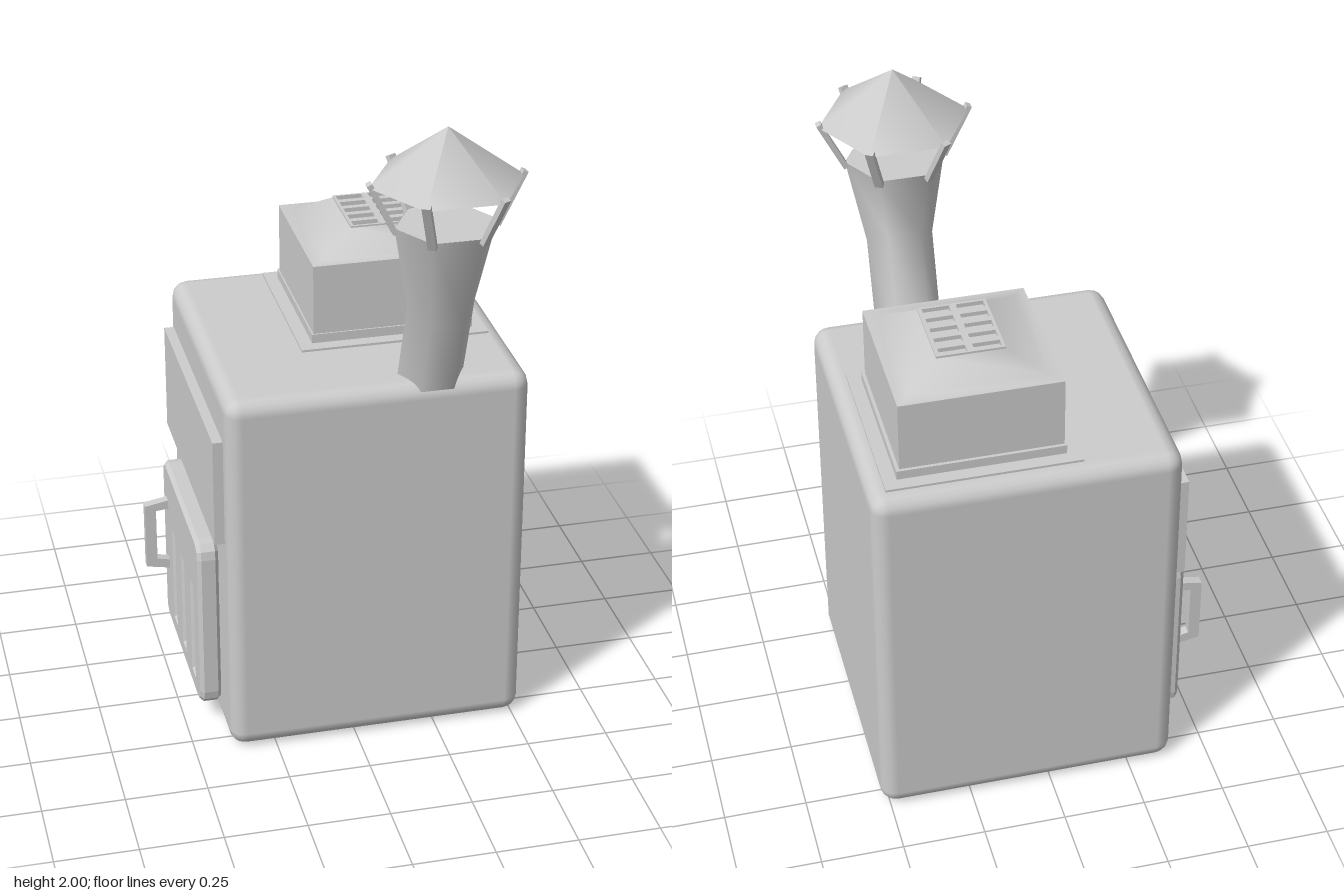
import * as THREE from 'three';
import { RoundedBoxGeometry } from 'three/addons/geometries/RoundedBoxGeometry.js';

const grey = new THREE.MeshStandardMaterial({ color: 0xcccccc, side: THREE.DoubleSide });
grey.name = 'light grey';

export function createModel() {
  const model = new THREE.Group();
  model.name = 'boiler';

  const add = (name, geometry, parent = model) => {
    const mesh = new THREE.Mesh(geometry, grey);
    mesh.name = name;
    parent.add(mesh);
    return mesh;
  };
  const group = (name) => {
    const g = new THREE.Group();
    g.name = name;
    model.add(g);
    return g;
  };
  // Box given by its limits
  const box = (name, x0, x1, y0, y1, z0, z1, parent) =>
    add(name, new THREE.BoxGeometry(x1 - x0, y1 - y0, z1 - z0)
      .translate((x0 + x1) / 2, (y0 + y1) / 2, (z0 + z1) / 2), parent);
  const rectPath = (x0, x1, y0, y1) => new THREE.Path([[x0, y0], [x0, y1], [x1, y1], [x1, y0]]
    .map(([x, y]) => new THREE.Vector2(x, y)));
  // Smooth skin through closed rings, bottom to top, each anticlockwise from above
  const loft = (rings) => {
    const n = rings[0].length, index = [];
    for (let i = 0; i < rings.length - 1; i++) {
      for (let j = 0; j < n; j++) {
        const a = i * n + j, b = i * n + (j + 1) % n;
        index.push(a, b, a + n, b, b + n, a + n);
      }
    }
    const g = new THREE.BufferGeometry();
    g.setAttribute('position', new THREE.Float32BufferAttribute(rings.flat(2), 3));
    g.setIndex(index);
    g.computeVertexNormals();
    return g;
  };

  // Cabinet
  add('cabinet', new RoundedBoxGeometry(0.915, 1.185, 0.905, 2, 0.05).translate(0.068, 0.5925, -0.127));
  box('sidePanel', -0.42, -0.38, 0.7, 1.04, -0.52, 0.27);

  // Fire door with three slots; drawn in (z, y) and pushed out towards -x
  const door = group('door');
  const bevel = 0.012, corner = 0.04;
  const z0 = -0.423 + bevel, z1 = 0.168 - bevel, y0 = 0.065 + bevel, y1 = 0.638 - bevel;
  const doorShape = new THREE.Shape();
  doorShape.moveTo(z0 + corner, y0).lineTo(z1 - corner, y0);
  doorShape.quadraticCurveTo(z1, y0, z1, y0 + corner).lineTo(z1, y1 - corner);
  doorShape.quadraticCurveTo(z1, y1, z1 - corner, y1).lineTo(z0 + corner, y1);
  doorShape.quadraticCurveTo(z0, y1, z0, y1 - corner).lineTo(z0, y0 + corner);
  doorShape.quadraticCurveTo(z0, y0, z0 + corner, y0);
  for (const z of [-0.255, -0.1, 0.055]) {
    doorShape.holes.push(rectPath(z - 0.03, z + 0.03, 0.12, 0.45));
  }
  add('doorPlate', new THREE.ExtrudeGeometry(doorShape, {
    depth: 0.043, bevelThickness: bevel, bevelSize: bevel, bevelSegments: 1, curveSegments: 3,
  }).rotateY(-Math.PI / 2).translate(-0.4, 0, 0), door);
  box('slotBacking', -0.435, -0.39, 0.1, 0.47, -0.3, 0.1, door);

  // Door handle, a bent bar
  const handle = new THREE.Shape([[-0.45, 0.27], [-0.45, 0.3], [-0.495, 0.31], [-0.495, 0.485],
    [-0.45, 0.49], [-0.45, 0.52], [-0.53, 0.505], [-0.53, 0.285]].map(([x, y]) => new THREE.Vector2(x, y)));
  add('doorHandle', new THREE.ExtrudeGeometry(handle, { depth: 0.03, bevelEnabled: false })
    .translate(0, 0, -0.37), door);

  // Roof vent: flange, collar, box and a shallow hood
  const vent = group('roofVent');
  box('ventFlange', -0.1, 0.475, 1.17, 1.192, -0.53, 0.037, vent);
  box('ventCollar', -0.06, 0.435, 1.18, 1.22, -0.49, -0.003, vent);
  box('ventBox', -0.055, 0.425, 1.18, 1.439, -0.48, -0.008, vent);
  const rect = (xa, xb, za, zb, y) => [[xa, y, zb], [xb, y, zb], [xb, y, za], [xa, y, za]];
  add('ventHood', loft([
    rect(-0.055, 0.425, -0.48, -0.008, 1.44),
    rect(-0.015, 0.385, -0.44, -0.045, 1.443),
    rect(0.09, 0.288, -0.365, -0.125, 1.5),
  ]), vent);

  // Grate with two columns of five slots
  const grate = new THREE.Shape([[0.088, 0.125], [0.289, 0.125], [0.289, 0.367], [0.088, 0.367]]
    .map(([x, y]) => new THREE.Vector2(x, y)));
  for (let row = 0; row < 5; row++) {
    for (const x of [0.097, 0.197]) {
      const y = 0.133 + row * 0.0495;
      grate.holes.push(rectPath(x, x + 0.08, y, y + 0.029));
    }
  }
  add('ventGrate', new THREE.ExtrudeGeometry(grate, { depth: 0.015, bevelEnabled: false })
    .rotateX(-Math.PI / 2).translate(0, 1.49, 0), vent);
  box('grateBacking', 0.09, 0.287, 1.46, 1.492, -0.365, -0.127, vent);

  // Bent six-sided chimney; tilt drops the front of a ring
  const chimney = group('chimney');
  const cx = 0.24, cz = 0.371;
  const hexRing = (r, y, z, tilt) => Array.from({ length: 6 }, (_, i) => {
    const a = i * Math.PI / 3, d = -Math.sin(a) * r;
    return [cx + Math.cos(a) * r, y - d * Math.sin(tilt), z + d * Math.cos(tilt)];
  });
  add('chimneyPipe', loft([
    hexRing(0.1, 1.165, 0.23, 0.2),
    hexRing(0.1, 1.45, 0.335, 0.62),
    hexRing(0.15, 1.71, cz, 0),
  ]), chimney);
  add('chimneyTop', new THREE.CircleGeometry(0.15, 6).rotateX(-Math.PI / 2).translate(cx, 1.709, cz), chimney);

  // Rain cap on six struts
  add('rainCap', new THREE.ConeGeometry(0.225, 0.163, 6, 1, true, Math.PI / 2)
    .translate(cx, 1.9185, cz), chimney);
  const rise = 0.155, run = 0.077;
  for (let i = 0; i < 6; i++) {
    const strut = new THREE.BoxGeometry(0.016, Math.hypot(rise, run), 0.025)
      .rotateZ(-Math.atan2(run, rise)).translate(0.186, 1.773, 0)
      .rotateY(i * Math.PI / 3).translate(cx, 0, cz);
    add('capStrut', strut, chimney);
  }

  return model;
}
